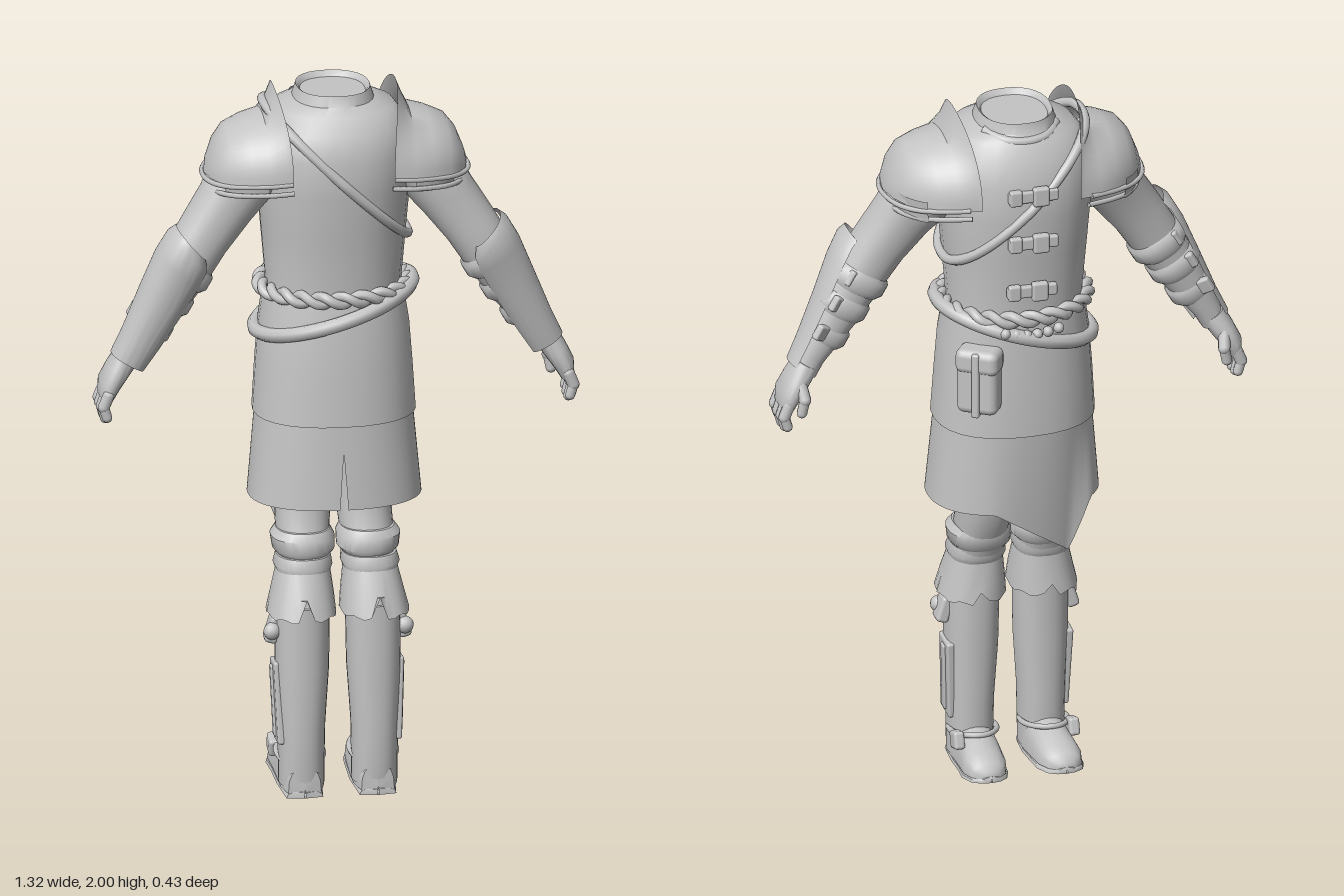
import * as THREE from 'three';
import { RoundedBoxGeometry } from 'three/addons/geometries/RoundedBoxGeometry.js';
import { toCreasedNormals, mergeGeometries } from 'three/addons/utils/BufferGeometryUtils.js';

const V = (x, y, z) => new THREE.Vector3(x, y, z);
const grey = new THREE.MeshStandardMaterial({ color: 0xc4c4c4, side: THREE.DoubleSide });
grey.name = 'plain light grey';

// Surface through rows of points; rows run bottom to top.
function skin(rows, crease = 0.7) {
  const n = rows[0].length, pos = [], idx = [];
  rows.forEach(r => r.forEach(p => pos.push(p.x, p.y, p.z)));
  for (let i = 0; i < rows.length - 1; i++) for (let j = 0; j < n - 1; j++) {
    const a = i * n + j, b = a + n;
    idx.push(a, b, a + 1, b, b + 1, a + 1);
  }
  const g = new THREE.BufferGeometry();
  g.setAttribute('position', new THREE.Float32BufferAttribute(pos, 3));
  g.setIndex(idx);
  return toCreasedNormals(g, crease);
}

// Squarish oval: the signed power rounds less than a true ellipse.
const bend = v => Math.sign(v) * Math.abs(v) ** .87;
// Oval ring, tilted about z; from and to limit the arc.
function ring([x, y, z, rx, rz, tilt = 0], from = 0, to = 2 * Math.PI, n = 28) {
  return Array.from({ length: n + 1 }, (_, i) => {
    const t = from + (to - from) * i / n, u = rx * bend(Math.cos(t));
    return V(x + u * Math.cos(tilt), y + u * Math.sin(tilt), z + rz * bend(Math.sin(t)));
  });
}
// Loft through rings; capped unless an open arc.
function loft(list, from, to) {
  const rows = list.map(s => ring(s, from, to));
  if (from === undefined) {
    const cap = s => rows[0].map(() => V(s[0], s[1], s[2]));
    rows.unshift(cap(list[0]));
    rows.push(cap(list[list.length - 1]));
  }
  return skin(rows);
}
function rod(a, b, r) {
  const d = b.clone().sub(a), g = new THREE.CapsuleGeometry(r, d.length(), 4, 10);
  g.applyQuaternion(new THREE.Quaternion().setFromUnitVectors(V(0, 1, 0), d.normalize()));
  return g.translate((a.x + b.x) / 2, (a.y + b.y) / 2, (a.z + b.z) / 2);
}
function box(w, h, d, x, y, z, rx = 0, ry = 0, rz = 0) {
  return new RoundedBoxGeometry(w, h, d, 2, Math.min(w, h, d) * 0.3)
    .rotateX(rx).rotateY(ry).rotateZ(rz).translate(x, y, z);
}
// Closed tube whose path is a function of the angle.
function loop(fn, r, n = 64) {
  const pts = Array.from({ length: n }, (_, i) => fn(2 * Math.PI * i / n));
  return new THREE.TubeGeometry(new THREE.CatmullRomCurve3(pts, true), n * 2, r, 8, true);
}
function mirrored(g) {
  const m = (g.index ? g.toNonIndexed() : g.clone()).scale(-1, 1, 1);
  for (const a of Object.values(m.attributes)) for (let i = 0; i < a.count; i += 3)
    for (let k = 0; k < a.itemSize; k++) {
      const p = (i + 1) * a.itemSize + k, q = p + a.itemSize;
      [a.array[p], a.array[q]] = [a.array[q], a.array[p]];
    }
  return m;
}

export function createModel() {
  const group = new THREE.Group();
  const add = (name, g) => {
    const m = new THREE.Mesh(g, grey);
    m.name = name;
    group.add(m);
  };
  const pair = (name, g) => { add('left ' + name, g); add('right ' + name, mirrored(g)); };

  // Torso and shallow neck opening
  add('torso', loft([
    [0, 1.38, 0, .19, .165], [0, 1.45, 0, .185, .168], [0, 1.6, 0, .198, .182],
    [0, 1.72, .002, .208, .196], [0, 1.82, .004, .212, .196], [0, 1.89, .006, .2, .175],
    [0, 1.935, .002, .165, .145], [0, 1.955, -.004, .11, .122], [0, 1.985, -.006, .1, .115],
    [0, 1.98, -.006, .093, .107], [0, 1.97, -.006, .088, .1]]));
  add('collar roll', new THREE.TubeGeometry(new THREE.CatmullRomCurve3(
    [[-.1, 1.95, -.06], [-.06, 1.94, -.115], [0, 1.935, -.13], [.06, 1.94, -.115], [.1, 1.95, -.06]]
      .map(p => V(...p))), 24, .014, 8));

  // Tunic skirts: the lower one is slit at the back and hangs to a point
  add('upper skirt', skin([[0, 1.07, .012, .222, .19], [0, 1.2, .008, .214, .184],
    [0, 1.32, .006, .205, .178], [0, 1.42, 0, .19, .168]].map(s => ring(s))));
  const rows = [];
  for (let i = 0; i <= 8; i++) {
    const k = i / 8, open = .03 * Math.max(0, 1 - k * 1.7);
    rows.push(ring([0, 0, .02 - k * .01, .236 - k * .024, .186 - k * .006],
      Math.PI / 2 + open, Math.PI * 2.5 - open, 90).map(p => {
      const t = Math.atan2(p.z / .186, p.x / .236) + 2.22;
      const away = Math.atan2(Math.sin(t), Math.cos(t));
      const drop = Math.max(0, 1 - (away > 0 ? away / 1.1 : -away / .3)), pull = drop * (1 - k);
      return V(p.x * (1 - .08 * pull), .835 - .155 * drop + k * (.265 + .155 * drop), p.z * (1 - .28 * pull));
    }));
  }
  add('lower skirt', skin(rows));

  // Belts and shoulder strap
  for (const phase of [0, Math.PI])
    add('rope belt strand', loop(t => {
      const a = t * 11 + phase, r = .011 * Math.cos(a);
      return V((.198 + r) * Math.cos(t), 1.425 + .012 * Math.sin(a), (.18 + r) * Math.sin(t));
    }, .0135, 128));
  add('slanted belt', loop(t => V(.214 * Math.cos(t), 1.365 + .3 * .214 * Math.cos(t), .004 + .186 * Math.sin(t)), .02));
  add('shoulder strap', loop(t => {
    const c = bend(Math.cos(t)), s = bend(Math.sin(t));
    return V(.005 + .196 * c, 1.755 - .19 * c, .003 + (.197 - .018 * Math.abs(c)) * s);
  }, .014));
  for (let i = 0; i < 6; i++)
    add('hanging bead', new THREE.SphereGeometry(.015, 10, 8)
      .translate(-.075 + i * .03, 1.39 - .012 * Math.sin(i * Math.PI / 5), -.182));

  // Chest buckles
  [1.51, 1.66, 1.8].forEach(y => {
    const z = y < 1.6 ? -.18 : -.193;
    add('chest strap', box(.14, .034, .02, 0, y, z));
    add('chest buckle', box(.045, .055, .024, -.02, y, z - .008));
    add('strap end', box(.035, .045, .022, .05, y, z - .003));
  });

  // Pouch on the hip
  add('pouch', box(.115, .17, .07, .14, 1.24, -.152, 0, -.6));
  add('pouch flap', box(.122, .07, .078, .14, 1.31, -.153, 0, -.6));
  add('pouch strap', box(.022, .19, .084, .14, 1.245, -.153, 0, -.6));

  // Shoulder plates: half hoops shrinking outward, raised at the inner edge
  const hoop = ([x, h, r, z]) => Array.from({ length: 25 }, (_, j) => {
    const t = Math.PI * j / 24;
    return V(x - .03 * Math.cos(t) ** 2 * (x < .2 ? 1 : 0), 1.765 + h * Math.sin(t) ** .9, z + r * Math.cos(t));
  });
  pair('shoulder plate', skin([[.168, .235, .193, .014], [.182, .2, .19, .016], [.2, .162, .186, .018],
    [.25, .15, .168, .022], [.3, .13, .139, .028], [.328, .095, .108, .032], [.348, .045, .068, .035],
    [.36, .004, .004, .036]].map(hoop)));
  const rim = (y, grow) => new THREE.TubeGeometry(new THREE.CatmullRomCurve3(
    [[.14, .203], [.2, .2], [.25, .187], [.3, .165], [.335, .132], [.355, .09], [.362, .036],
      [.353, -.03], [.332, -.078], [.3, -.115], [.25, -.145], [.17, -.175]]
      .map(([x, z]) => V(x * grow, y - (x - .14) * .06, z * grow))), 40, .007, 6);
  pair('shoulder plate rim', rim(1.77, 1));
  pair('under plate', loft([[.2, 1.725, .016, .138, .16], [.2, 1.79, .016, .146, .17]], -Math.PI / 3, Math.PI / 2));
  pair('under plate rim', rim(1.742, .96));

  // Arms
  pair('arm', loft([[.575, 1.24, .055, .034, .042, .5], [.555, 1.285, .058, .04, .046, .52],
    [.48, 1.405, .064, .062, .066, .52], [.415, 1.51, .066, .072, .074, .55],
    [.365, 1.59, .058, .075, .078, .6], [.3, 1.68, .045, .082, .085, .62],
    [.24, 1.77, .025, .1, .11, .6], [.17, 1.84, .01, .09, .11, .6]]));
  // Forearm guard, rounded over the elbow
  pair('bracer', loft([[.572, 1.245, .062, .052, .056, .52], [.535, 1.31, .066, .058, .064, .52],
    [.478, 1.42, .07, .07, .076, .55], [.435, 1.51, .08, .077, .087, .65],
    [.411, 1.56, .09, .075, .09, .8], [.402, 1.585, .093, .06, .078, .85]], -.8, 2.5));
  [[.51, 1.35, .054], [.465, 1.43, .066], [.42, 1.5, .073]].forEach(([x, y, r]) => {
    pair('arm strap', loft([[x + .016, y - .028, .064, r - .004, r, .52], [x + .008, y - .014, .064, r + .009, r + .009, .52],
      [x - .008, y + .014, .064, r + .009, r + .009, .52], [x - .016, y + .028, .064, r - .004, r, .52]]));
    pair('arm buckle', box(.04, .045, .022, x + .03, y + .02, .005, 0, .5, .52));
  });

  // Hands
  pair('palm', loft([[.632, 1.145, .053, .02, .056, .4], [.622, 1.18, .051, .03, .064, .45],
    [.598, 1.22, .051, .034, .056, .5], [.57, 1.265, .055, .036, .044, .52]]));
  const finger = (a, b, c, r) => mergeGeometries([rod(a, b, r), rod(b, c, r * .85)]);
  [.102, .069, .036, .008].forEach((z, i) => {
    const l = [.012, 0, .002, .012][i];
    pair('finger', finger(V(.63, 1.16, z), V(.643, 1.122 + l / 2, z), V(.634, 1.086 + l, z), .0165));
  });
  pair('thumb', finger(V(.597, 1.225, .015), V(.59, 1.18, -.01), V(.598, 1.142, -.008), .017));

  // Legs
  pair('thigh', loft([[.095, .5, .085, .066, .072], [.09, .62, .06, .07, .08], [.088, .72, .025, .072, .085],
    [.082, .82, -.015, .076, .088], [.088, .98, -.01, .085, .1]]));
  pair('knee wrap', loft([[.088, .672, .042, .072, .082], [.088, .685, .04, .084, .09],
    [.09, .72, .034, .087, .094], [.088, .74, .028, .074, .085]]));
  pair('lower knee wrap', loft([[.092, .625, .06, .072, .082], [.092, .645, .056, .08, .09],
    [.09, .672, .05, .074, .084]]));
  // Flared cuff with notched hem
  pair('boot cuff', skin([[.1, .515, .08, .094, .112], [.096, .57, .072, .085, .1], [.092, .635, .06, .073, .084]]
    .map((s, i) => ring(s, 0, 2 * Math.PI, 32).map((p, j) => {
      if (i === 0) p.y += (j === 8 ? .055 : 0) + (j === 24 ? .03 : 0) + .005 * Math.sin(j * 1.7);
      return p;
    }))));
  pair('boot shaft', loft([[.1, .03, .085, .062, .07], [.1, .1, .085, .062, .076], [.1, .2, .085, .064, .079],
    [.098, .36, .082, .073, .082], [.096, .54, .078, .074, .084]]));

  // Feet: cross-sections from heel to toe, flat underneath and rising to the toe
  const foot = (list, base) => skin(list.map(([z, w, h, x]) => Array.from({ length: 21 }, (_, j) => {
    const t = 2 * Math.PI * j / 20, s = Math.sin(t), low = base + .1 * (.155 - z);
    return V(x + w * Math.cos(t), low + (h - low) * (s > 0 ? s ** .7 : 0), z);
  })));
  pair('foot', foot([[.158, .002, .025, .1], [.152, .045, .09, .1], [.1, .06, .13, .1], [.03, .06, .13, .1],
    [-.03, .06, .118, .102], [-.09, .06, .098, .106], [-.13, .048, .082, .107],
    [-.148, .028, .064, .106], [-.153, .002, .05, .106]], .015));
  pair('sole', foot([[.16, .002, .02, .1], [.154, .05, .022, .1], [.05, .062, .03, .1], [-.03, .063, .038, .102],
    [-.09, .065, .045, .106], [-.135, .05, .05, .107], [-.153, .025, .051, .106], [-.157, .002, .045, .106]], .003));

  // Outer shin plate and buckles
  pair('shin plate', box(.022, .23, .085, .163, .26, .08, -.08, 0, -.04));
  pair('shin plate ridge', box(.02, .2, .03, .17, .26, .075, -.08, 0, -.04));
  pair('upper boot buckle', box(.035, .075, .055, .176, .465, .075, 0, 0, .3));
  pair('buckle stud', new THREE.SphereGeometry(.024, 12, 8).translate(.182, .465, .1));
  pair('ankle strap', loop(t => V(.1 + .063 * Math.cos(t), .105 - .015 * Math.sin(t), .055 + .088 * Math.sin(t)), .008));
  pair('ankle buckle', box(.03, .05, .055, .162, .105, -.012, .3));
  return group;
}
